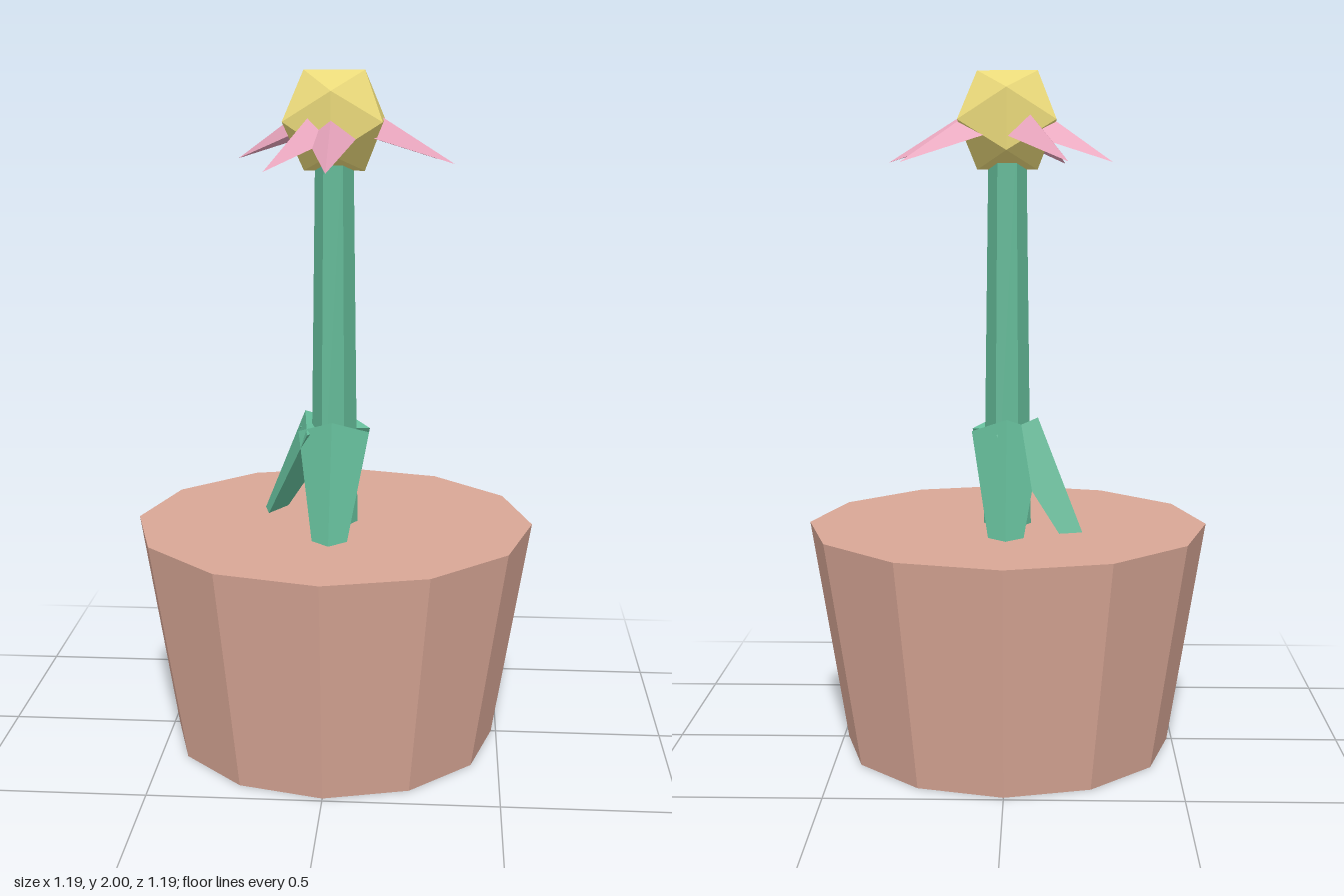
import * as THREE from 'three';

const material = (color) => new THREE.MeshStandardMaterial({ color, flatShading: true });

// Flattened three-sided spike with its ridge on top; its tip lies at (0, tipY, tipRadius)
// before the whole spike is turned about the y axis.
function spike(radius, length, droop, tipY, tipRadius, turn) {
  const geometry = new THREE.ConeGeometry(radius, length, 3);
  geometry.scale(1, 1, 0.5);
  geometry.rotateY(Math.PI);
  geometry.translate(0, -length / 2, 0);
  geometry.rotateX(Math.PI / 2 + THREE.MathUtils.degToRad(droop));
  geometry.translate(0, tipY, tipRadius);
  geometry.rotateY(THREE.MathUtils.degToRad(turn));
  return geometry;
}

export function createModel() {
  const model = new THREE.Group();
  const add = (name, geometry, mat, y = 0) => {
    const mesh = new THREE.Mesh(geometry, mat);
    mesh.name = name;
    mesh.position.y = y;
    model.add(mesh);
    return mesh;
  };

  const clay = material(0xd9a796);
  const green = material(0x62b896);
  const yellow = material(0xead97a);
  const pink = material(0xe6a3bb);

  // Tapered pot, closed at the top
  add('pot', new THREE.CylinderGeometry(0.593, 0.485, 0.67, 12), clay, 0.335);

  // Six-sided stem
  const stem = add('stem', new THREE.CylinderGeometry(0.055, 0.071, 1.2, 6), green, 1.2);
  stem.rotation.y = Math.PI / 2;

  // Leaves slope from the stem down into the pot
  [0, -120, 180].forEach((turn, i) =>
    add(`leaf${i + 1}`, spike(0.121, 0.655, 60, 0.4, 0.38, turn), green));

  // Flower centre
  add('flowerCentre', new THREE.IcosahedronGeometry(0.1665), yellow, 1.8585);

  // Drooping petals in three pairs
  [0, 90, 120, -30, -120, -150].forEach((turn, i) =>
    add(`petal${i + 1}`, spike(0.098, 0.3, 23, 1.737, 0.345, turn), pink));

  return model;
}
